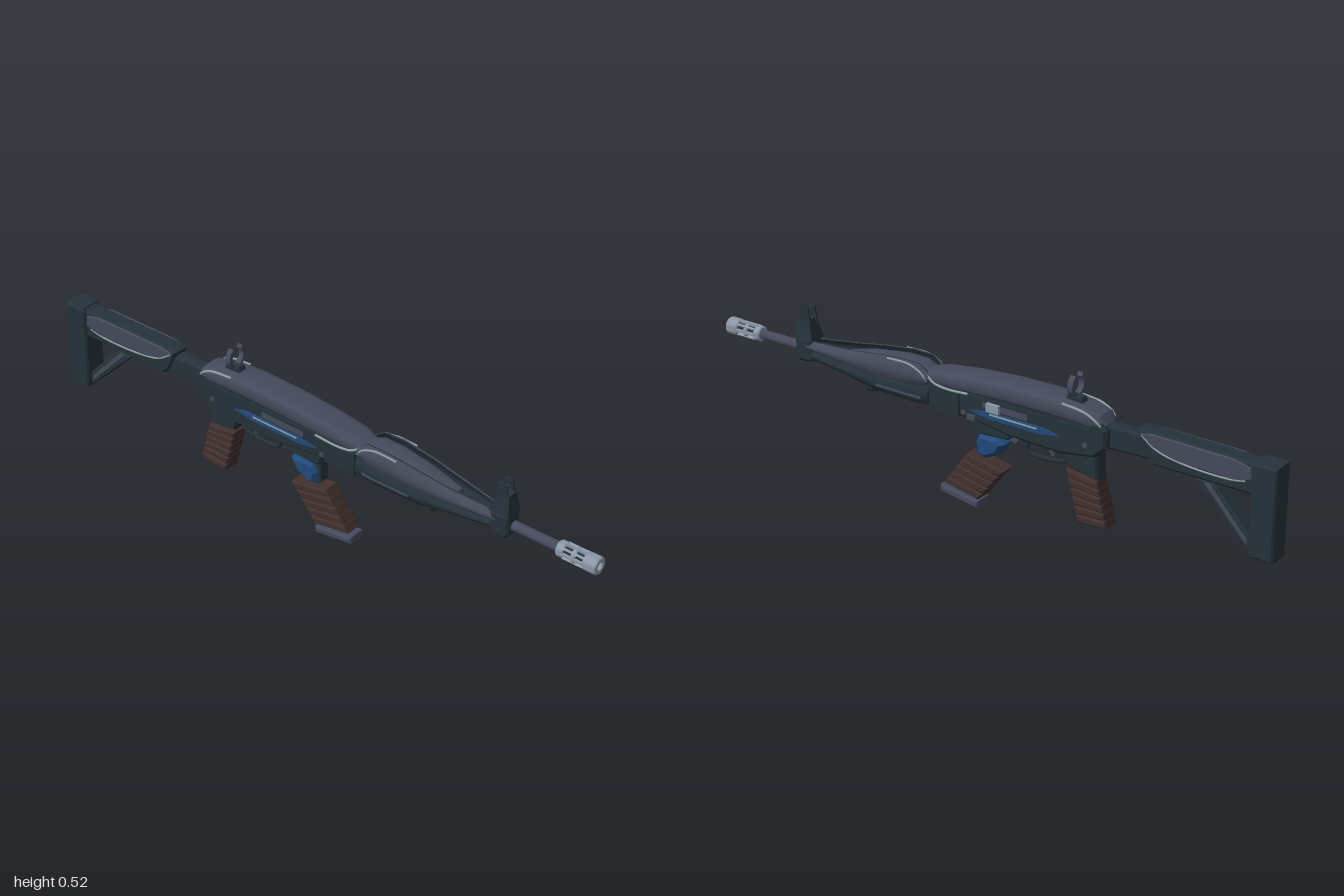
import * as THREE from 'three';
import { toCreasedNormals } from 'three/addons/utils/BufferGeometryUtils.js';

const mat = (name, color) => Object.assign(new THREE.MeshStandardMaterial({ color }), { name });

export function createModel() {
  const dark = mat('darkSteel', 0x25323a), gray = mat('gunmetal', 0x454a5c), pale = mat('paleEdge', 0x8d9da2);
  const brown = mat('brownGrip', 0x40302e), blue = mat('blueAccent', 0x21497a), silver = mat('silver', 0x8c98a8);
  const model = new THREE.Group();
  model.name = 'rifle';
  const body = new THREE.Group();
  body.name = 'rifleBody';
  body.position.z = 0.004;
  model.add(body);

  const add = (name, geo, material, x = 0, y = 0, z = 0) => {
    const m = new THREE.Mesh(geo, material);
    m.name = name;
    m.position.set(x, y, z);
    body.add(m);
    return m;
  };
  // side profile extruded across the width, bevelled inside its outline
  const slab = (pts, w, b = 0.006) => {
    const g = new THREE.ExtrudeGeometry(new THREE.Shape(pts.map(p => new THREE.Vector2(...p))), {
      depth: w - 2 * b, bevelEnabled: b > 0, bevelSize: b, bevelThickness: b, bevelOffset: -b, bevelSegments: 1, curveSegments: 8 });
    return g.translate(0, 0, -w / 2 + b);
  };
  const box = (w, h, d) => new THREE.BoxGeometry(w, h, d);
  const rod = (r, len, n = 20) => new THREE.CylinderGeometry(r, r, len, n).rotateZ(-Math.PI / 2);
  const tube = (pts, r, n = 24) => new THREE.TubeGeometry(new THREE.CatmullRomCurve3(pts.map(p => new THREE.Vector3(...p))), n, r, 6);

  // skin closed (y, z) rings placed along x, with end caps
  const loft = (xs, rings) => {
    const n = rings[0].length, pos = [], idx = [];
    rings.forEach((r, i) => r.forEach(p => pos.push(xs[i], p[0], p[1])));
    for (let i = 0; i < xs.length - 1; i++) for (let j = 0; j < n; j++) {
      const a = i * n + j, b = i * n + (j + 1) % n;
      idx.push(a, b, a + n, b, b + n, a + n);
    }
    const flat = rings[0].map(p => new THREE.Vector2(p[0], p[1]));
    const last = (xs.length - 1) * n;
    for (const t of THREE.ShapeUtils.triangulateShape(flat, [])) {
      idx.push(t[2], t[1], t[0], last + t[0], last + t[1], last + t[2]);
    }
    const g = new THREE.BufferGeometry();
    g.setAttribute('position', new THREE.Float32BufferAttribute(pos, 3));
    g.setIndex(idx);
    return toCreasedNormals(g, 0.6);
  };
  // rounded-box section
  const oval = (y0, y1, hw, e = 0.55, n = 24) => Array.from({ length: n }, (_, j) => {
    const a = j / n * Math.PI * 2, c = Math.cos(a), s = Math.sin(a);
    return [(y0 + y1) / 2 + (y1 - y0) / 2 * Math.sign(c) * Math.abs(c) ** e, hw * Math.sign(s) * Math.abs(s) ** e];
  });
  const ovalLoft = rows => loft(rows.map(r => r[0]), rows.map(r => oval(r[1], r[2], r[3])));
  // thin curved side shell; rows are [x, bottom, top, outer z]
  const shell = (rows, side, t, inset = 0) => loft(rows.map(r => r[0]), rows.map(([, y0, y1, z]) => {
    const arc = k => Array.from({ length: 7 }, (_, j) => {
      const u = j / 6;
      return [y1 + (y0 - y1) * u, z - inset - k - 0.012 * (2 * u - 1) ** 2];
    });
    const ring = [...arc(0), ...arc(t).reverse()];
    return side > 0 ? ring : ring.map(([y, zz]) => [y, -zz]).reverse();
  }));

  // stock
  add('buttPad', slab([[-1, 0.13], [-0.925, 0.13], [-0.92, 0.15], [-0.92, 0.41], [-0.93, 0.425], [-1, 0.425]], 0.078), dark);
  add('stockBody', slab([[-0.93, 0.32], [-0.6, 0.32], [-0.575, 0.34], [-0.54, 0.42], [-0.56, 0.425], [-0.93, 0.42]], 0.058, 0.008), dark);
  add('stockStrut', slab([[-0.925, 0.13], [-0.925, 0.18], [-0.795, 0.32], [-0.735, 0.32]], 0.05), dark);
  add('stockTube', slab([[-0.59, 0.33], [-0.43, 0.325], [-0.43, 0.405], [-0.59, 0.4]], 0.044, 0.008), dark);
  for (const s of [-1, 1]) {
    add('stockPanel', slab([[-0.92, 0.37], [-0.88, 0.352], [-0.67, 0.358], [-0.59, 0.382], [-0.555, 0.412], [-0.6, 0.42], [-0.86, 0.418], [-0.915, 0.405]], 0.008, 0.003), gray, 0, 0, s * 0.03);
    add('stockPanelEdge', tube([[-0.9, 0.36, s * 0.032], [-0.85, 0.352, s * 0.033], [-0.7, 0.356, s * 0.033], [-0.61, 0.375, s * 0.033], [-0.56, 0.408, s * 0.032]], 0.003), pale);
    add('strutPanel', slab([[-0.91, 0.16], [-0.91, 0.178], [-0.785, 0.315], [-0.765, 0.315]], 0.006, 0.001), gray, 0, 0, s * 0.024);
  }

  // receiver
  add('receiver', slab([[-0.45, 0.33], [-0.41, 0.295], [-0.29, 0.275], [-0.12, 0.28], [0.02, 0.298], [0.19, 0.305], [0.19, 0.4], [-0.43, 0.41], [-0.45, 0.39]], 0.088, 0.01), dark);
  add('topCover', ovalLoft([[-0.44, 0.375, 0.405, 0.03], [-0.42, 0.375, 0.428, 0.042], [-0.36, 0.385, 0.443, 0.05], [-0.25, 0.388, 0.452, 0.052],
    [-0.1, 0.386, 0.45, 0.052], [0.05, 0.38, 0.438, 0.051], [0.15, 0.375, 0.425, 0.048], [0.2, 0.38, 0.412, 0.036]]), gray);
  for (const s of [-1, 1]) {
    add('coverEdgeRear', tube([[-0.435, 0.385, s * 0.034], [-0.42, 0.41, s * 0.044], [-0.38, 0.432, s * 0.046], [-0.3, 0.442, s * 0.046]], 0.004), pale);
    add('coverEdgeFront', tube([[0.03, 0.386, s * 0.051], [0.11, 0.382, s * 0.05], [0.16, 0.388, s * 0.047], [0.19, 0.404, s * 0.039]], 0.004), pale);
    add('coverSeam', box(0.46, 0.01, 0.008), dark, -0.17, 0.38, s * 0.046);
    add('blueInlay', slab([[-0.29, 0.335], [-0.22, 0.322], [-0.03, 0.322], [0.03, 0.335], [-0.04, 0.345], [-0.24, 0.347]], 0.006, 0.001), blue, 0, 0, s * 0.045);
    add('inlayHighlight', box(0.17, 0.005, 0.004), pale, -0.13, 0.339, s * 0.048);
    add('portCover', box(0.16, 0.02, 0.006), gray, -0.1, 0.363, s * 0.045);
    add('frontBlock', box(0.11, 0.075, 0.012), dark, 0.12, 0.34, s * 0.044);
    for (const [x, y] of [[-0.38, 0.33], [0.05, 0.32]])
      add('receiverPin', new THREE.CylinderGeometry(0.008, 0.008, 0.008, 12).rotateX(Math.PI / 2), gray, x, y, s * 0.044);
  }
  add('chargingHandle', box(0.045, 0.026, 0.012), silver, -0.065, 0.367, -0.058);
  add('chargingHandleStem', box(0.02, 0.012, 0.02), silver, -0.065, 0.367, -0.045);
  add('sideCatch', box(0.03, 0.016, 0.01), gray, 0.02, 0.312, -0.047);

  // handguard: dark core between two curved shells
  add('handguardCore', ovalLoft([[0.17, 0.31, 0.405, 0.04], [0.3, 0.305, 0.41, 0.04], [0.45, 0.32, 0.4, 0.034], [0.52, 0.335, 0.38, 0.022]]), dark);
  add('handguardTop', ovalLoft([[0.19, 0.39, 0.41, 0.028], [0.23, 0.39, 0.428, 0.034], [0.3, 0.39, 0.428, 0.034], [0.42, 0.38, 0.412, 0.028], [0.52, 0.37, 0.388, 0.018]]), gray);
  const upper = [[0.18, 0.375, 0.405, 0.05], [0.22, 0.36, 0.432, 0.056], [0.29, 0.355, 0.434, 0.058], [0.4, 0.352, 0.42, 0.055],
    [0.5, 0.352, 0.405, 0.048], [0.6, 0.355, 0.394, 0.037], [0.68, 0.36, 0.386, 0.03]];
  const lower = [[0.18, 0.305, 0.378, 0.05], [0.25, 0.302, 0.365, 0.054], [0.4, 0.305, 0.358, 0.052], [0.5, 0.32, 0.356, 0.046],
    [0.6, 0.328, 0.358, 0.036], [0.68, 0.334, 0.362, 0.029]];
  for (const s of [-1, 1]) {
    add('handguardShell', shell(upper, s, 0.005), gray);
    add('handguardLining', shell(upper, s, 0.004, 0.0055), dark);
    add('handguardLowerShell', shell(lower, s, 0.008), dark);
    add('handguardVent', box(0.17, 0.008, 0.006), gray, 0.29, 0.328, s * 0.051);
    add('handguardEdge', tube([[0.185, 0.385, s * 0.047], [0.205, 0.41, s * 0.051], [0.25, 0.427, s * 0.05], [0.33, 0.427, s * 0.05]], 0.0035), pale);
  }
  add('handguardKnob', slab([[0.39, 0.33], [0.4, 0.285], [0.44, 0.28], [0.455, 0.33]], 0.05, 0.008), dark);
  add('handguardFoot', slab([[0.2, 0.31], [0.24, 0.298], [0.39, 0.298], [0.41, 0.31]], 0.05, 0.004), dark);

  // barrel and muzzle brake
  const by = 0.356;
  add('barrel', rod(0.016, 0.42), gray, 0.68, by);
  add('gasTube', rod(0.01, 0.2, 12), dark, 0.57, 0.374);
  add('muzzleCore', rod(0.018, 0.09), dark, 0.92, by);
  const ring = (x0, x1, r) => new THREE.LatheGeometry([[0.013, x0], [r - 0.003, x0], [r, x0 + 0.004], [r, x1 - 0.004], [r - 0.003, x1], [0.013, x1], [0.013, x0]]
    .map(p => new THREE.Vector2(...p)), 24).rotateZ(-Math.PI / 2);
  add('muzzleCollar', toCreasedNormals(ring(0.865, 0.89, 0.025), 0.6), silver, 0, by);
  add('muzzleTip', toCreasedNormals(ring(0.955, 1, 0.028), 0.6), silver, 0, by);
  add('muzzleBand', toCreasedNormals(ring(0.915, 0.93, 0.025), 0.6), silver, 0, by);
  for (let i = 0; i < 8; i++) {
    const a = i / 8 * Math.PI * 2;
    const bar = add('muzzleBar', box(0.08, 0.009, 0.007), silver, 0.925, by + 0.022 * Math.cos(a), 0.022 * Math.sin(a));
    bar.rotation.x = a;
  }

  // front sight
  add('frontSightBlock', slab([[0.64, 0.325], [0.7, 0.318], [0.71, 0.33], [0.71, 0.398], [0.645, 0.4]], 0.062, 0.008), dark);
  add('frontSightTower', loft([0, 0.03, 0.065], [[0.64, 0.71, 0.03], [0.65, 0.705, 0.024], [0.66, 0.7, 0.018]]
    .map(([a, b, w]) => [[a, w], [a, -w], [b, -w], [b, w]]))
    .applyMatrix4(new THREE.Matrix4().set(0, 1, 0, 0, 1, 0, 0, 0.395, 0, 0, -1, 0, 0, 0, 0, 1)), dark);
  for (const s of [-1, 1])
    add('frontSightEar', slab([[0.652, 0.445], [0.7, 0.445], [0.688, 0.492], [0.676, 0.5], [0.662, 0.497]], 0.007, 0.001), dark, 0, 0, s * 0.016);
  add('frontSightPost', new THREE.CylinderGeometry(0.002, 0.005, 0.035, 10), gray, 0.68, 0.468);

  // rear sight: base and two crescent horns
  add('rearSightBase', slab([[-0.355, 0.435], [-0.285, 0.435], [-0.3, 0.462], [-0.345, 0.458]], 0.034, 0.004), dark);
  const horn = new THREE.Shape();
  horn.absarc(0, 0.492, 0.038, Math.PI * 0.33, -Math.PI * 0.42, true);
  horn.absarc(-0.003, 0.49, 0.028, -Math.PI * 0.42, Math.PI * 0.3, false);
  for (const s of [-1, 1]) {
    const g = new THREE.ExtrudeGeometry(horn, { depth: 0.018, bevelEnabled: false, curveSegments: 16 }).translate(0, 0, -0.009);
    add('rearSightHorn', g.rotateY(s * Math.PI / 2), gray, -0.32);
  }

  // ribbed quads from a top edge to a bottom edge, over a narrower core
  const mix = (a, b, t) => [a[0] + (b[0] - a[0]) * t, a[1] + (b[1] - a[1]) * t];
  const ribs = (name, tl, tr, br, bl, n, w) => {
    add(name + 'Core', slab([tl, bl, br, tr].map(p => mix(p, mix(mix(tl, br, 0.5), mix(tr, bl, 0.5), 0.5), 0.08)), w - 0.012, 0.004), brown);
    for (let i = 0; i < n; i++) {
      const a = i / n, b = (i + 0.94) / n;
      add(name + 'Rib', slab([mix(tl, bl, a), mix(tl, bl, b), mix(tr, br, b), mix(tr, br, a)], w, 0.005), brown);
    }
  };
  // pistol grip and trigger
  add('gripNeck', slab([[-0.41, 0.3], [-0.415, 0.215], [-0.31, 0.232], [-0.285, 0.29]], 0.056, 0.008), dark);
  ribs('grip', [-0.412, 0.212], [-0.305, 0.228], [-0.35, 0.06], [-0.45, 0.068], 6, 0.062);
  add('triggerGuard', tube([[-0.29, 0.24, 0], [-0.27, 0.23, 0], [-0.17, 0.226, 0], [-0.153, 0.235, 0], [-0.15, 0.285, 0]], 0.007), dark);
  add('trigger', tube([[-0.24, 0.285, 0], [-0.232, 0.265, 0], [-0.243, 0.24, 0]], 0.006, 10), gray);

  // magazine well, blue feed piece and detached magazine
  add('magazineWell', slab([[-0.13, 0.29], [-0.1, 0.262], [0, 0.255], [0.03, 0.265], [0.04, 0.305]], 0.066, 0.006), dark);
  add('magazineCatch', slab([[-0.145, 0.285], [-0.12, 0.245], [-0.1, 0.25], [-0.1, 0.285]], 0.03, 0.004), gray);
  add('feedPiece', slab([[-0.085, 0.24], [-0.06, 0.255], [0.005, 0.255], [0.018, 0.225], [0.012, 0.185], [-0.015, 0.178], [-0.06, 0.2]], 0.07, 0.012), blue);
  add('feedPieceSpine', slab([[0.002, 0.262], [0.022, 0.262], [0.026, 0.19], [0.008, 0.178]], 0.038, 0.003), dark);
  ribs('magazine', [-0.082, 0.15], [0.05, 0.177], [0.138, 0.052], [0.012, 0.03], 5, 0.062);
  add('magazineBase', slab([[0.01, 0.025], [0.15, 0.045], [0.152, 0.022], [0.012, 0]], 0.064, 0.005), gray);
  return model;
}
